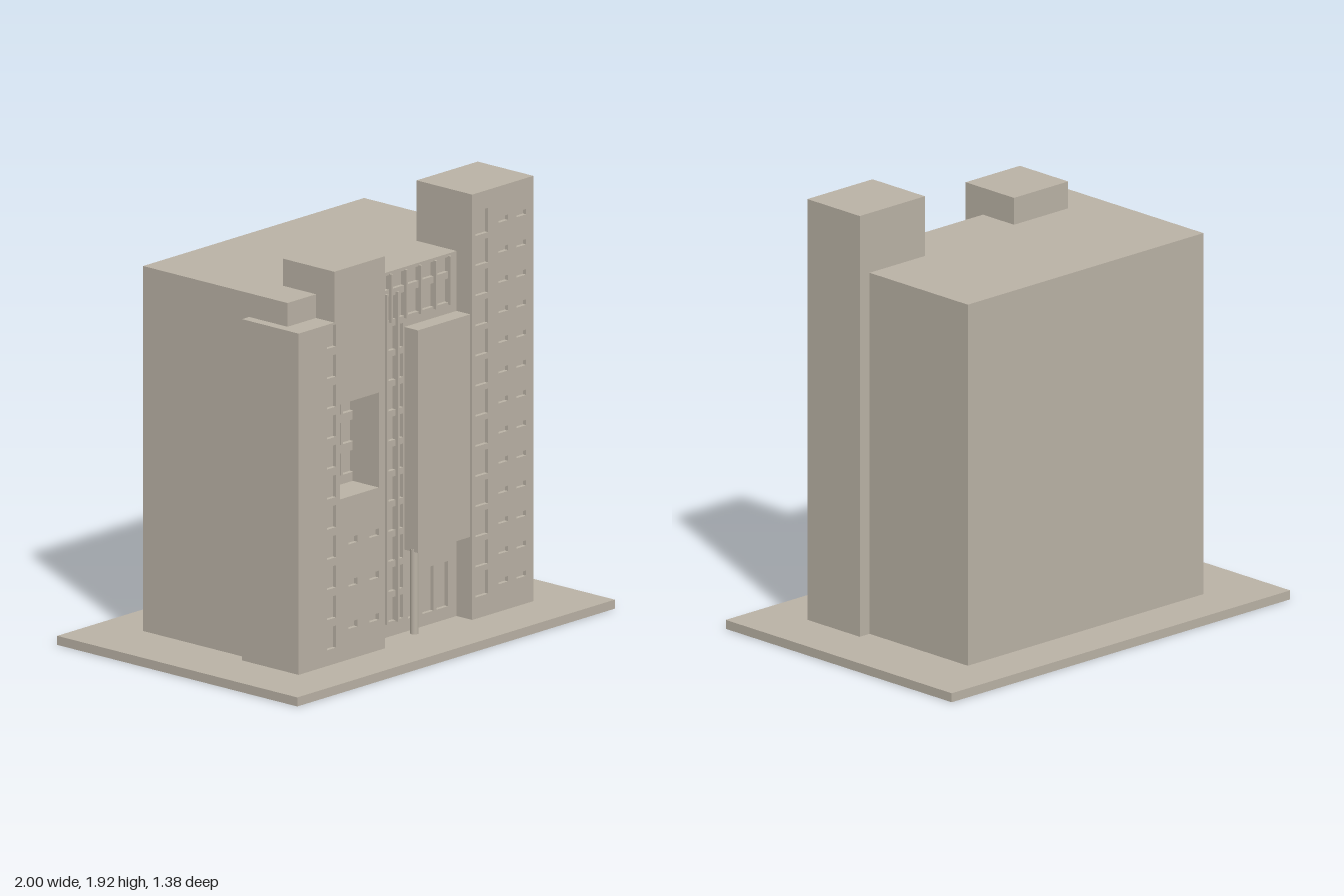
import * as THREE from 'three';

const FLOOR = 0.1333; // storey height
const concrete = new THREE.MeshStandardMaterial({ color: 0xbab2a5 });
concrete.name = 'warm grey concrete';

export function createModel() {
  const model = new THREE.Group();
  model.name = 'towerBlock';

  const add = (name, geometry) => {
    const mesh = new THREE.Mesh(geometry, concrete);
    mesh.name = name;
    model.add(mesh);
    return mesh;
  };

  // Solid block given by its limits
  const block = (name, x0, x1, y0, y1, z0, z1) =>
    add(name, new THREE.BoxGeometry(x1 - x0, y1 - y0, z1 - z0))
      .position.set((x0 + x1) / 2, (y0 + y1) / 2, (z0 + z1) / 2);

  // Wall slab with rectangular openings [x0, x1, y0, y1]
  const rect = (path, [x0, x1, y0, y1]) =>
    path.moveTo(x0, y0).lineTo(x1, y0).lineTo(x1, y1).lineTo(x0, y1).closePath();
  const wall = (name, bounds, z0, z1, openings) => {
    const shape = rect(new THREE.Shape(), bounds);
    shape.holes = openings.map((o) => rect(new THREE.Path(), o));
    add(name, new THREE.ExtrudeGeometry(shape, { depth: z1 - z0, bevelEnabled: false }))
      .position.z = z0;
  };

  // Repeats one opening upward
  const column = (x0, x1, y, height, count, step = FLOOR) =>
    Array.from({ length: count }, (_, i) => [x0, x1, y + i * step, y + i * step + height]);

  // Ground slab and main body
  block('groundSlab', -1, 1, 0, 0.04, -0.69, 0.69);
  block('mainBody', -0.7, 0.692, 0.04, 1.655, -0.47, 0.295);
  block('mainBodyCorner', -0.7, -0.5, 1.54, 1.655, 0.29, 0.36);

  // Wing with deep balcony niche
  const wing = [-0.745, -0.2, 0.04, 1.55];
  const niche = [-0.485, -0.24, 0.76, 1.18];
  block('wingBody', ...wing, 0.14, 0.295);
  wall('nicheBackWall', wing, 0.295, 0.315, [
    ...column(-0.46, -0.395, 0.8, 0.097, 3, 0.135),
    ...column(-0.38, -0.315, 0.8, 0.097, 3, 0.135),
    ...column(-0.3, -0.235, 0.8, 0.097, 3, 0.135),
  ]);
  wall('nicheSurround', wing, 0.315, 0.447, [niche]);
  wall('wingFacade', wing, 0.447, 0.465, [
    niche,
    ...column(-0.565, -0.51, 0.11, 0.098, 11),
    ...column(-0.432, -0.375, 0.175, 0.03, 3, 0.187),
    ...column(-0.298, -0.24, 0.175, 0.03, 3, 0.187),
  ]);
  block('wingPenthouse', -0.52, -0.2, 1.54, 1.775, 0.17, 0.465);

  // Tall stair tower
  const tower = [0.365, 0.75, 0.04, 1.922];
  block('towerBody', ...tower, 0.13, 0.432);
  wall('towerFacade', tower, 0.432, 0.45, [
    ...column(0.385, 0.465, 0.135, 0.108, 13),
    ...column(0.53, 0.59, 0.162, 0.024, 13),
    ...column(0.645, 0.705, 0.162, 0.024, 13),
  ]);

  // Recessed central front with ribbon windows and entrance doors
  const centre = [-0.2, 0.365, 0.04, 1.655];
  block('centreBody', ...centre, 0.29, 0.342);
  wall('centreFacade', centre, 0.342, 0.36, [
    ...column(-0.192, 0.028, 0.105, 0.105, 10),
    [-0.197, 0.33, 1.44, 1.545],
    [-0.197, 0.33, 1.575, 1.64],
    [0.06, 0.125, 0.095, 0.295],
    [0.15, 0.22, 0.095, 0.295],
    [0.24, 0.31, 0.095, 0.295],
  ]);

  // Vertical fins in front of the ribbon windows
  for (const x of [-0.15, -0.083, -0.015])
    block('lowerFin', x - 0.005, x + 0.005, 0.1, 1.56, 0.342, 0.374);
  for (const x of [-0.15, -0.055, 0.04, 0.13, 0.225, 0.316])
    block('upperFin', x - 0.005, x + 0.005, 1.43, 1.645, 0.342, 0.374);

  // Projecting blank bay carried by a round column
  block('projectingBay', 0.036, 0.366, 0.405, 1.39, 0.35, 0.438);
  add('entranceColumn', new THREE.CylinderGeometry(0.018, 0.018, 0.375, 20))
    .position.set(0.05, 0.2275, 0.405);

  return model;
}
